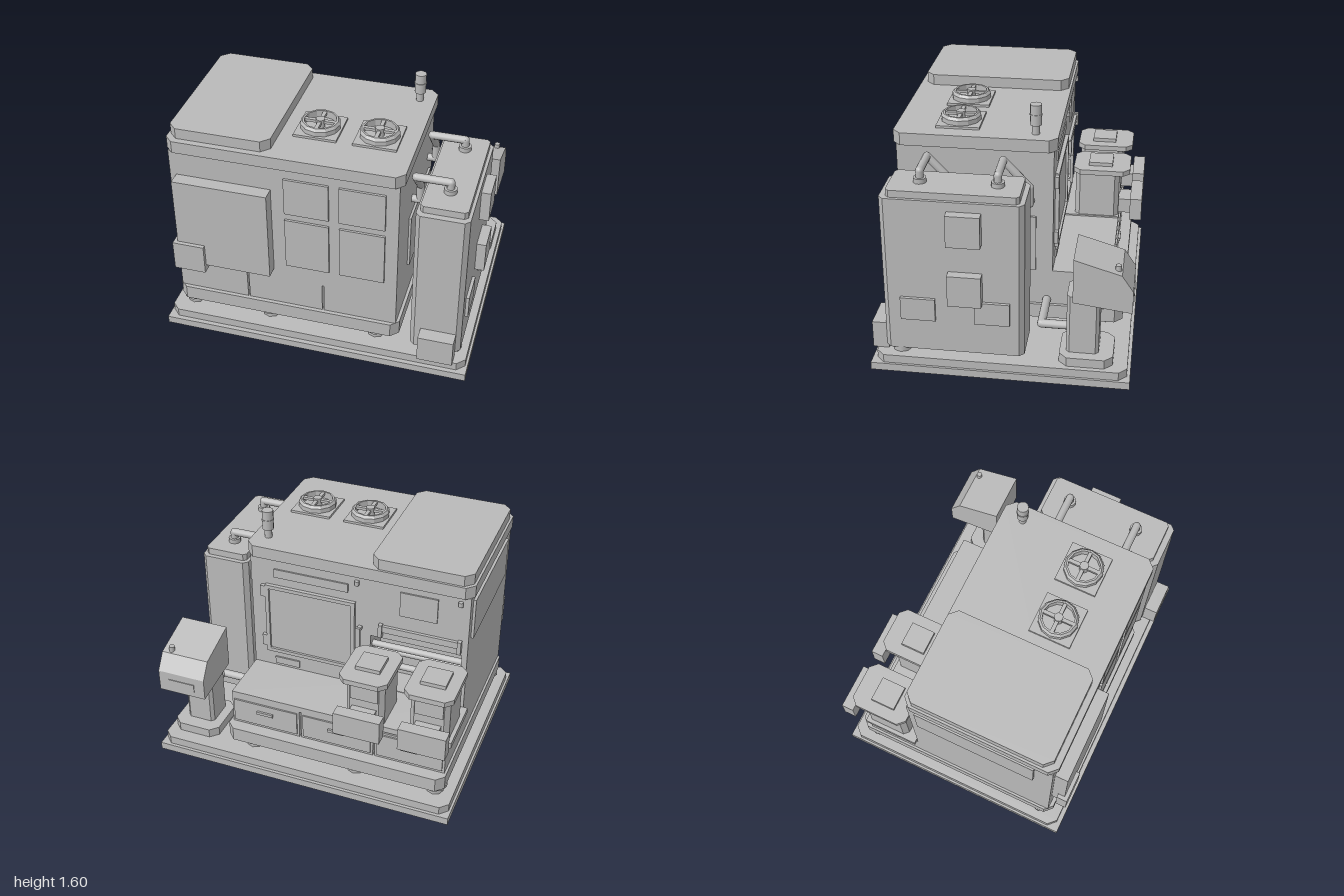
import * as THREE from 'three';

export function createModel() {
  const root = new THREE.Group();
  root.name = 'industrialMachine';
  const grey = new THREE.MeshStandardMaterial({ color: 0xbababa });
  grey.name = 'machineGrey';

  const add = (name, geo) => {
    const m = new THREE.Mesh(geo, grey);
    m.name = name;
    root.add(m);
    return m;
  };
  // Box from its limits
  const box = (name, x0, x1, y0, y1, z0, z1) => add(name,
    new THREE.BoxGeometry(x1 - x0, y1 - y0, z1 - z0)
      .translate((x0 + x1) / 2, (y0 + y1) / 2, (z0 + z1) / 2));
  // Slab with cut vertical corners
  const slab = (name, x0, x1, y0, y1, z0, z1, c = 0.04) => {
    const pts = [[x0 + c, z0], [x1 - c, z0], [x1, z0 + c], [x1, z1 - c],
      [x1 - c, z1], [x0 + c, z1], [x0, z1 - c], [x0, z0 + c]];
    const s = new THREE.Shape(pts.map(([x, z]) => new THREE.Vector2(x, -z)));
    const g = new THREE.ExtrudeGeometry(s, { depth: y1 - y0, bevelEnabled: false });
    return add(name, g.rotateX(-Math.PI / 2).translate(0, y0, 0));
  };
  // Upright cylinder
  const post = (name, x, z, y0, y1, r0, r1 = r0, n = 12) => add(name,
    new THREE.CylinderGeometry(r1, r0, y1 - y0, n).translate(x, (y0 + y1) / 2, z));
  // Straight-sectioned pipe with round elbows
  const pipe = (name, pts, r) => {
    const v = pts.map(p => new THREE.Vector3(...p));
    for (let i = 0; i < v.length - 1; i++) {
      const d = v[i + 1].clone().sub(v[i]);
      const g = new THREE.CylinderGeometry(r, r, d.length(), 12);
      g.applyQuaternion(new THREE.Quaternion().setFromUnitVectors(
        new THREE.Vector3(0, 1, 0), d.clone().normalize()));
      const mid = v[i].clone().add(v[i + 1]).multiplyScalar(0.5);
      add(name, g.translate(mid.x, mid.y, mid.z));
      if (i > 0) add(name + 'Elbow', new THREE.SphereGeometry(r, 12, 8).translate(v[i].x, v[i].y, v[i].z));
    }
  };

  // Floor plates
  box('basePlate', -1, 1, 0, 0.05, -0.8, 0.8);
  slab('upperBasePlate', -0.985, 0.985, 0.05, 0.105, -0.78, 0.77, 0.05);

  // Machine feet
  for (const x of [-0.86, -0.33, 0.38]) for (const z of [-0.62, 0.62]) {
    post('footStem', x, z, 0.105, 0.15, 0.057, 0.057, 8);
    post('footPad', x, z, 0.145, 0.175, 0.078, 0.078, 8);
  }

  // Skirt and three lower modules with through gaps
  slab('skirt', -0.935, 0.54, 0.175, 0.27, -0.725, 0.715, 0.05);
  for (const [a, b] of [[-0.92, -0.461], [-0.449, 0.039], [0.051, 0.52]]) {
    box('lowerModule', a, b, 0.27, 0.47, -0.645, 0.69);
    box('drawerFront', a + 0.015, b - 0.015, 0.29, 0.455, -0.655, -0.645);
    const c = (a + b) / 2;
    box('drawerHandle', c - 0.055, c + 0.055, 0.385, 0.405, -0.668, -0.655);
  }
  box('benchTop', -0.25, 0.52, 0.47, 0.51, -0.645, -0.27);
  box('loadingTray', -0.95, -0.25, 0.48, 0.52, -0.645, -0.28);

  // Upper housing with a rear loading opening
  box('housing', -0.92, 0.52, 0.47, 1.33, -0.08, 0.69);
  const wall = new THREE.Shape([[-0.92, 0.47], [0.52, 0.47], [0.52, 1.33], [-0.92, 1.33]]
    .map(p => new THREE.Vector2(...p)));
  wall.holes.push(new THREE.Path([[-0.885, 0.52], [-0.885, 0.91], [-0.29, 0.91], [-0.29, 0.52]]
    .map(p => new THREE.Vector2(...p))));
  add('rearWall', new THREE.ExtrudeGeometry(wall, { depth: 0.2, bevelEnabled: false }).translate(0, 0, -0.275));
  for (const [y, z] of [[0.82, -0.22], [0.75, -0.17], [0.68, -0.22]])
    pipe('openingRail', [[-0.885, y, z], [-0.29, y, z]], 0.022);
  slab('roofCap', -0.935, 0.545, 1.33, 1.41, -0.295, 0.71, 0.05);
  slab('roofCover', -0.92, -0.285, 1.41, 1.48, -0.28, 0.67, 0.05);

  // Front panels
  box('frontCabinet', -0.88, -0.275, 0.545, 1.16, 0.69, 0.775);
  box('frontControlBox', -0.905, -0.7, 0.5, 0.7, 0.73, 0.8);
  for (const [a, b] of [[-0.19, 0.09], [0.155, 0.44]])
    for (const [c, d] of [[1.005, 1.26], [0.6, 0.957]]) box('frontPanel', a, b, c, d, 0.69, 0.705);

  // Side panels
  box('rightSidePanel', -0.937, -0.92, 1.015, 1.29, -0.22, 0.57);
  box('leftSidePanel', 0.52, 0.535, 0.52, 0.89, -0.17, 0.4);

  // Rear door: raised frame round a flat leaf
  box('doorLeaf', -0.17, 0.41, 0.65, 1.13, -0.285, -0.275);
  for (const y of [0.63, 1.115]) box('doorFrame', -0.19, 0.42, y, y + 0.025, -0.3, -0.275);
  for (const x of [-0.19, 0.395]) box('doorFrame', x, x + 0.025, 0.655, 1.115, -0.3, -0.275);
  for (const y of [0.67, 1.05]) box('doorHinge', 0.42, 0.45, y, y + 0.08, -0.3, -0.275);
  for (const y of [0.79, 0.95]) box('doorHandleMount', -0.235, -0.21, y, y + 0.02, -0.325, -0.275);
  box('doorHandle', -0.237, -0.208, 0.78, 0.98, -0.33, -0.31);
  box('rearSign', -0.14, 0.36, 1.2, 1.26, -0.285, -0.275);
  box('rearWindow', -0.72, -0.48, 1.11, 1.28, -0.285, -0.275);
  box('openingHeader', -0.87, -0.36, 0.965, 1.01, -0.295, -0.275);
  box('rearLabel', 0.2, 0.37, 0.53, 0.58, -0.285, -0.275);
  for (const x of [-0.87, -0.36]) box('headerBracket', x - 0.012, x + 0.012, 0.93, 1.02, -0.305, -0.275);
  for (const x of [-0.86, -0.2]) post('rearBolt', x, -0.285, 1.27, 1.3, 0.015);

  // Two feed hoppers at the loading tray
  for (const x of [-0.8, -0.385]) {
    slab('hopperBody', x - 0.125, x + 0.125, 0.5, 0.835, -0.64, -0.345, 0.03);
    box('hopperPanel', x - 0.09, x + 0.09, 0.69, 0.8, -0.65, -0.64);
    slab('hopperLid', x - 0.155, x + 0.155, 0.835, 0.87, -0.71, -0.33, 0.045);
    box('hopperCap', x - 0.08, x + 0.08, 0.87, 0.895, -0.59, -0.43);
    box('hopperFrontBox', x - 0.155, x + 0.145, 0.51, 0.665, -0.8, -0.72);
    box('hopperBoxArm', x - 0.08, x + 0.08, 0.53, 0.63, -0.72, -0.64);
  }

  // Roof fans
  for (const x of [-0.065, 0.305]) {
    const z = 0.325;
    box('fanPlate', x - 0.135, x + 0.135, 1.41, 1.425, z - 0.135, z + 0.135);
    const ring = [[0.1, 1.425], [0.125, 1.425], [0.125, 1.455], [0.112, 1.472], [0.1, 1.472], [0.1, 1.425]]
      .map(p => new THREE.Vector2(...p));
    const g = new THREE.LatheGeometry(ring, 12).toNonIndexed();
    g.computeVertexNormals();
    add('fanRing', g.translate(x, 0, z));
    box('fanSpoke', x - 0.105, x + 0.105, 1.45, 1.468, z - 0.012, z + 0.012);
    box('fanSpoke', x - 0.012, x + 0.012, 1.45, 1.468, z - 0.105, z + 0.105);
    post('fanHub', x, z, 1.425, 1.478, 0.028);
  }

  // Signal beacon
  post('beaconStem', 0.445, -0.155, 1.41, 1.48, 0.024);
  post('beaconLight', 0.445, -0.155, 1.47, 1.6, 0.036);
  post('beaconBand', 0.445, -0.155, 1.53, 1.54, 0.039);

  // Tall side cabinet
  slab('sideCabinet', 0.615, 0.94, 0.14, 1.165, -0.15, 0.71, 0.03);
  slab('sideCabinetCap', 0.635, 0.92, 1.165, 1.21, -0.12, 0.67, 0.02);
  for (const x of [0.68, 0.88]) post('cabinetFoot', x, 0.62, 0.105, 0.14, 0.06, 0.06, 8);
  box('cabinetFrontBox', 0.685, 0.91, 0.11, 0.29, 0.7, 0.8);
  for (const [y, h, z0, z1, x] of [[0.9, 0.205, 0.1, 0.305, 1], [0.5, 0.205, 0.1, 0.305, 1],
    [0.36, 0.15, 0.39, 0.603, 0.96], [0.36, 0.15, -0.065, 0.15, 0.96]])
    box('cabinetSideBox', 0.93, x, y, y + h, z0, z1);

  // Pipes
  for (const z of [0.49, 0.025]) {
    post('pipeFlange', 0.78, z, 1.21, 1.24, 0.04);
    pipe('coolantPipe', [[0.78, 1.21, z], [0.78, 1.28, z], [0.57, 1.28, z],
      [0.57, 1.11, z - 0.16], [0.57, 1.0, z - 0.16], [0.51, 1.0, z - 0.16]], 0.025);
  }
  pipe('lowerPipe', [[0.8, 0.3, -0.45], [0.8, 0.3, -0.24], [0.5, 0.3, -0.24]], 0.027);

  // Operator console
  slab('consoleBase', 0.64, 0.955, 0.105, 0.165, -0.69, -0.36, 0.05);
  slab('consoleColumn', 0.7, 0.89, 0.165, 0.56, -0.6, -0.4, 0.02);
  const head = new THREE.Shape([[-0.44, 0.56], [-0.44, 0.85], [-0.725, 0.765], [-0.795, 0.66], [-0.795, 0.515]]
    .map(([z, y]) => new THREE.Vector2(-z, y)));
  add('consoleHead', new THREE.ExtrudeGeometry(head, { depth: 0.32, bevelEnabled: false })
    .rotateY(Math.PI / 2).translate(0.638, 0, 0));
  box('consoleDisplay', 0.71, 0.89, 0.555, 0.61, -0.8, -0.792);
  post('consoleKnob', 0.9, -0.7, 0.76, 0.805, 0.018);

  return root;
}
